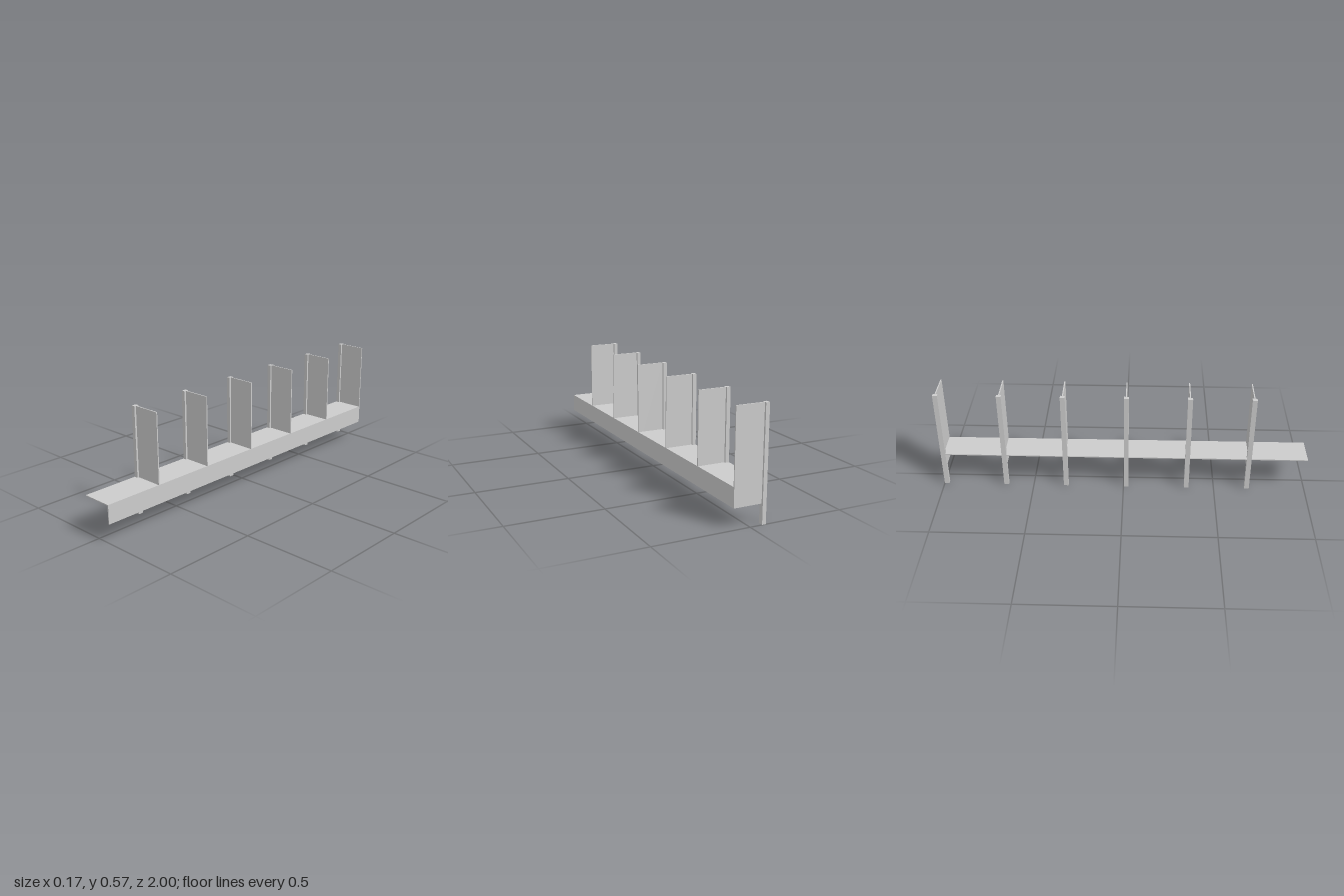
import * as THREE from 'three';

export function createModel() {
  const model = new THREE.Group();
  const material = new THREE.MeshStandardMaterial({ color: 0xcccccc });

  // Box given by its minimum and maximum corners
  const addBox = (parent, name, [x0, y0, z0], [x1, y1, z1]) => {
    const mesh = new THREE.Mesh(new THREE.BoxGeometry(x1 - x0, y1 - y0, z1 - z0), material);
    mesh.name = name;
    mesh.position.set((x0 + x1) / 2, (y0 + y1) / 2, (z0 + z1) / 2);
    parent.add(mesh);
  };

  const back = -0.99, front = 1;
  const left = 0.083, right = -0.084, postInner = -0.064;
  const top = 0.574, shelfTop = 0.2, apronBottom = 0.1;

  // Long counter shelf with an apron hanging from its left edge
  addBox(model, 'shelf', [right, 0.195, back], [left, shelfTop, front]);
  addBox(model, 'apron', [left - 0.005, apronBottom, back], [left, 0.195, front]);

  // Six evenly spaced dividers, each a thin panel on a slim post
  for (let i = 0; i < 6; i++) {
    const divider = new THREE.Group();
    divider.name = 'divider' + (i + 1);
    divider.position.z = -0.987 + i * 0.334;
    addBox(divider, 'post', [right, 0, -0.013], [postInner, top, 0.013]);
    addBox(divider, 'panel', [postInner, apronBottom, -0.003], [left, top, 0.003]);
    model.add(divider);
  }
  return model;
}
